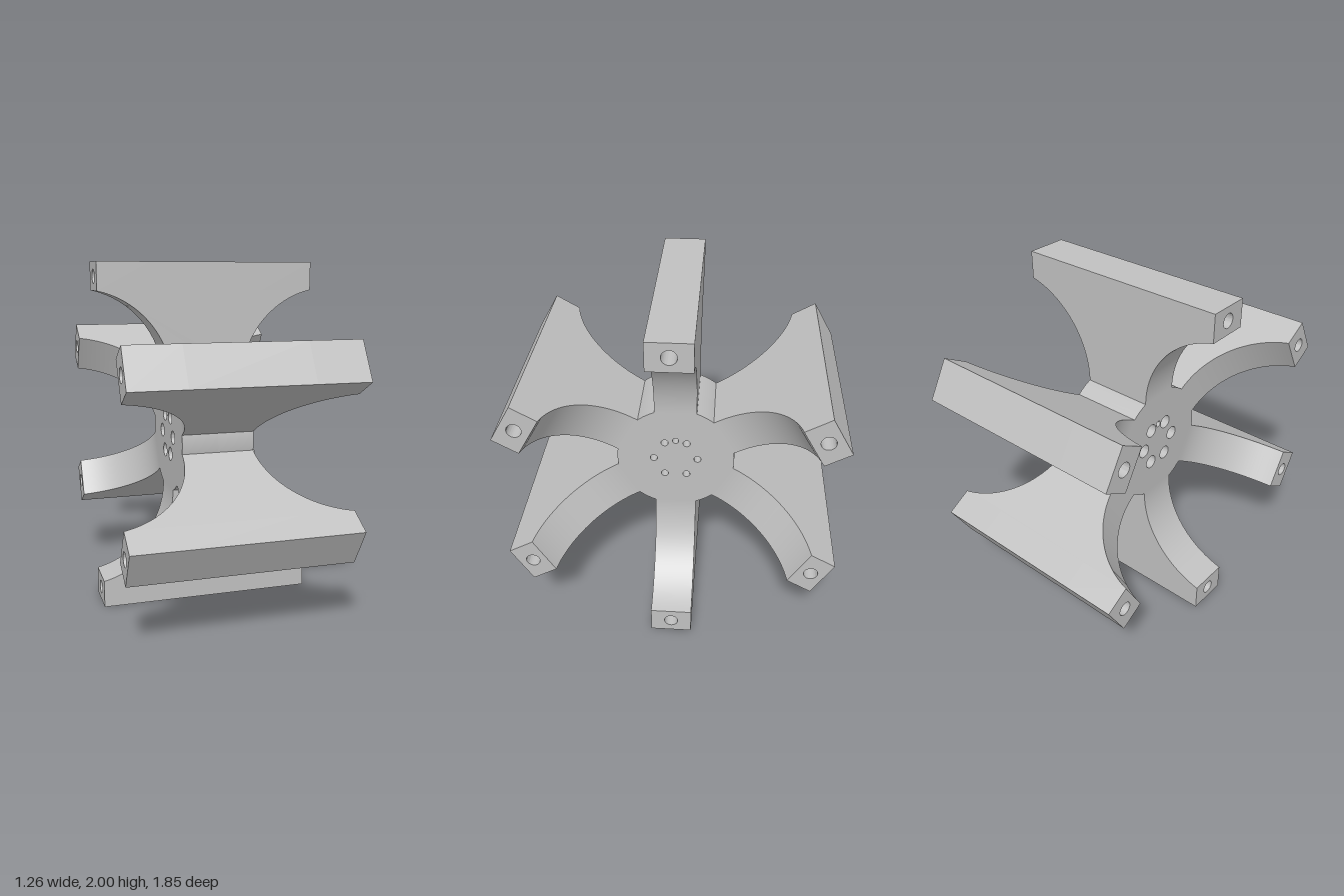
import * as THREE from 'three';
import { toCreasedNormals } from 'three/addons/utils/BufferGeometryUtils.js';

const HUB_R = 0.34, HUB_X = 0.21;          // hub radius and half length
const ARM_X = 0.63, ARM_T = 0.24;          // arm half length and thickness
const TIP_IN = 0.84, TIP_OUT = 1;          // radial range of the tip bar
const BOLT_R = 0.04, BOLT_DEPTH = 0.3;     // blind holes in the bar ends

function hole(shape, x, y, r) {
  shape.holes.push(new THREE.Path().absarc(x, y, r, 0, Math.PI * 2, true));
}

function extrude(shape, depth, segments = 32) {
  const geo = new THREE.ExtrudeGeometry(shape, { depth, bevelEnabled: false, curveSegments: segments });
  return toCreasedNormals(geo, 0.5);
}

// Extrusion running along x from x0 to x1
function extrudeX(shape, x0, x1, segments) {
  return extrude(shape, x1 - x0, segments).rotateY(Math.PI / 2).translate(x0, 0, 0);
}

// Hub slice with six bolt holes and one extra locating hole
function hubSlice(x0, x1, boltR) {
  const s = new THREE.Shape().absarc(0, 0, HUB_R, 0, Math.PI * 2, false);
  for (let i = 0; i < 6; i++) {
    const a = (i * Math.PI) / 3;
    hole(s, 0.127 * Math.cos(a), 0.127 * Math.sin(a), boltR);
  }
  hole(s, 0, 0.127, 0.018);
  return extrudeX(s, x0, x1, 48);
}

// Web that flares from the hub to the tip bar along circular arcs
function webGeometry() {
  const cx = 0.742, cr = 0.32, R = 0.532, n = 32;
  const end = Math.asin((TIP_IN - cr) / R);
  const side = [new THREE.Vector2(HUB_X, 0.31)];
  for (let i = 0; i <= n; i++) {
    const a = (end * i) / n;
    side.push(new THREE.Vector2(cx - R * Math.cos(a), cr + R * Math.sin(a)));
  }
  const mirrored = side.map((p) => new THREE.Vector2(-p.x, p.y)).reverse();
  return extrude(new THREE.Shape([...side, ...mirrored]), ARM_T).translate(0, 0, -ARM_T / 2);
}

// Square end of the tip bar, with or without the bolt hole
function barSection(withHole) {
  const h = ARM_T / 2;
  const s = new THREE.Shape([
    new THREE.Vector2(-h, TIP_IN), new THREE.Vector2(h, TIP_IN),
    new THREE.Vector2(h, TIP_OUT), new THREE.Vector2(-h, TIP_OUT),
  ]);
  if (withHole) hole(s, 0, (TIP_IN + TIP_OUT) / 2, BOLT_R);
  return s;
}

export function createModel() {
  const grey = new THREE.MeshStandardMaterial({ color: 0xc0c0c0 });
  grey.name = 'grey';
  const model = new THREE.Group();
  model.name = 'spokedDrum';
  const add = (parent, name, geo) => {
    const mesh = new THREE.Mesh(geo, grey);
    mesh.name = name;
    parent.add(mesh);
  };

  const wheel = new THREE.Group();
  wheel.name = 'wheel';
  wheel.position.y = 1;
  model.add(wheel);

  // Hub: counterbored on the -x side, narrow holes on the +x side
  add(wheel, 'hubCounterboreHalf', hubSlice(-HUB_X, 0, 0.04));
  add(wheel, 'hubBoltHalf', hubSlice(0, HUB_X, 0.021));

  // Six identical arms around the x axis
  const web = webGeometry();
  const inner = ARM_X - BOLT_DEPTH;
  const barMiddle = extrudeX(barSection(false), -inner, inner);
  const barEndLeft = extrudeX(barSection(true), inner, ARM_X);
  const barEndRight = extrudeX(barSection(true), -ARM_X, -inner);
  for (let i = 0; i < 6; i++) {
    const arm = new THREE.Group();
    arm.name = `arm${i + 1}`;
    arm.rotation.x = (i * Math.PI) / 3;
    add(arm, 'web', web);
    add(arm, 'barMiddle', barMiddle);
    add(arm, 'barEndLeft', barEndLeft);
    add(arm, 'barEndRight', barEndRight);
    wheel.add(arm);
  }
  return model;
}
